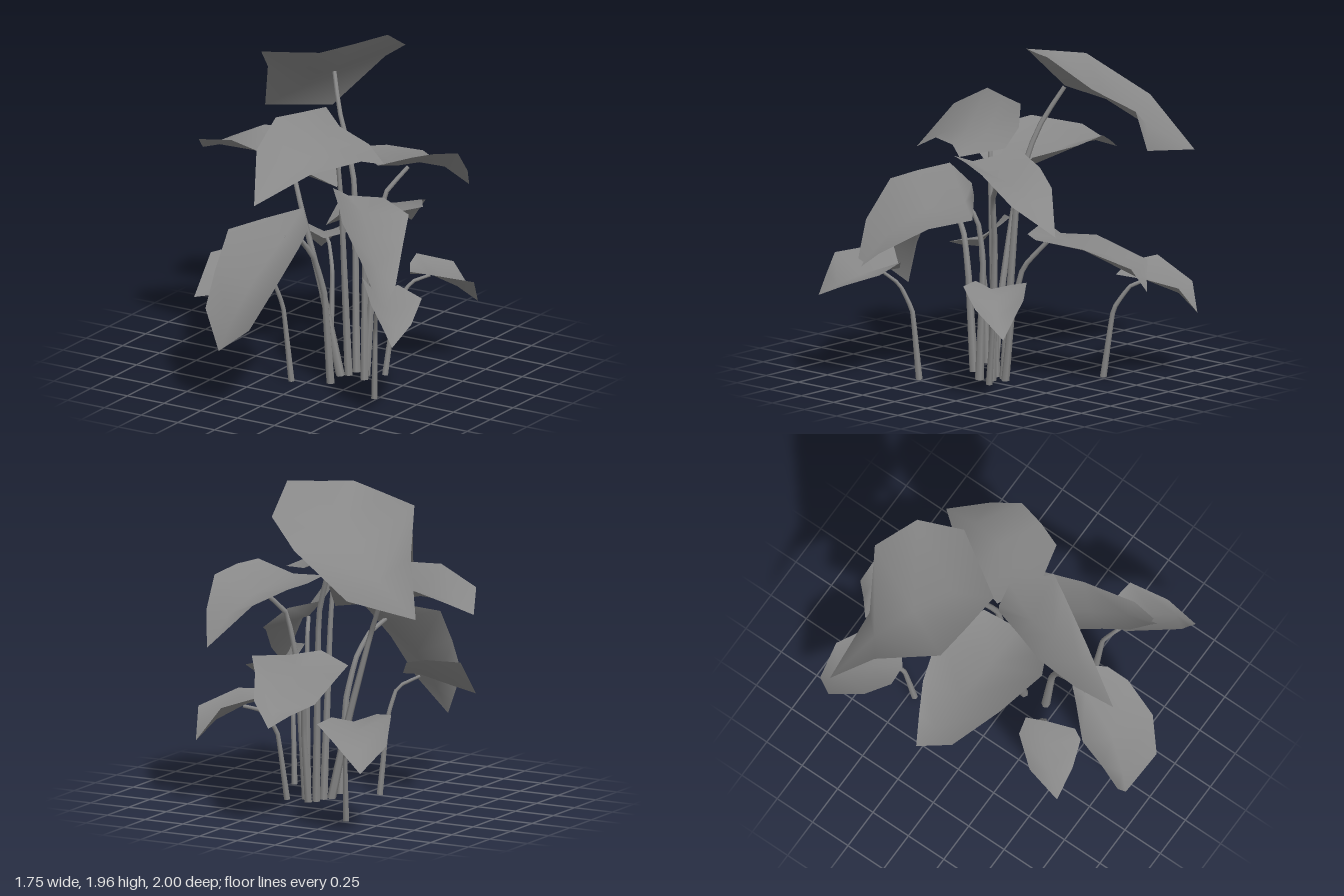
import * as THREE from 'three';

const leafMaterial = new THREE.MeshStandardMaterial({ color: 0x888888, side: THREE.DoubleSide });
const stemMaterial = new THREE.MeshStandardMaterial({ color: 0x888888 });

// Leaf blade: cross-sections [edge, rib, edge] from the base outwards, closed by one tip point.
function makeLeaf(sections, tip) {
  const position = [...sections.flat(2), ...tip];
  const index = [];
  const last = sections.length * 3;
  for (let row = 0; row < sections.length; row++) {
    for (let side = 0; side < 2; side++) {
      const a = row * 3 + side, b = a + 1;
      if (row === sections.length - 1) index.push(a, b, last);
      else if (side === 0) index.push(a, b, b + 3, a, b + 3, a + 3);
      else index.push(a, b, a + 3, b, b + 3, a + 3);
    }
  }
  const geometry = new THREE.BufferGeometry();
  geometry.setAttribute('position', new THREE.Float32BufferAttribute(position, 3));
  geometry.setIndex(index);
  geometry.computeVertexNormals();
  const mesh = new THREE.Mesh(geometry, leafMaterial);
  mesh.name = 'leaf';
  return mesh;
}

// Stalk: a six-sided tube with slight kinks that thins towards the leaf.
function makeStem(points, radius) {
  const path = points.map(p => new THREE.Vector3(...p));
  const curve = new THREE.CatmullRomCurve3(path, false, 'catmullrom', 0.15);
  const steps = 14, sides = 6;
  const geometry = new THREE.TubeGeometry(curve, steps, radius, sides, false);
  const pos = geometry.attributes.position;
  const v = new THREE.Vector3();
  for (let i = 0; i < pos.count; i++) {
    const t = Math.floor(i / (sides + 1)) / steps;
    const centre = curve.getPointAt(t);
    v.fromBufferAttribute(pos, i).sub(centre).multiplyScalar(1 - 0.5 * t).add(centre);
    pos.setXYZ(i, v.x, Math.max(0, v.y), v.z);
  }
  const mesh = new THREE.Mesh(geometry, stemMaterial);
  mesh.name = 'stem';
  return mesh;
}

export function createModel() {
  const plant = new THREE.Group();
  plant.name = 'leafyPlant';

  function frond(name, radius, stem, sections, tip) {
    const group = new THREE.Group();
    group.name = name;
    group.add(makeStem(stem, radius), makeLeaf(sections, tip));
    plant.add(group);
  }

  // Tallest leaf, leaning back and to the right
  frond('topFrond', 0.026,
    [[0.14, 0, -0.07], [0.09, 1.1, -0.13], [0, 1.4, -0.17], [-0.06, 1.53, -0.2], [-0.145, 1.715, -0.287]],
    [
      [[-0.09, 1.91, -0.04], [0.025, 1.93, -0.225], [0.14, 1.955, -0.41]],
      [[-0.31, 1.865, -0.07], [-0.145, 1.72, -0.29], [0.08, 1.8, -0.7]],
      [[-0.53, 1.82, -0.105], [-0.34, 1.63, -0.43], [-0.145, 1.65, -0.84]],
      [[-0.7, 1.6, -0.45], [-0.55, 1.46, -0.56], [-0.41, 1.35, -0.69]],
    ], [-0.85, 1.28, -0.66]);

  // Broad leaf reaching to the right
  frond('rightFrond', 0.026,
    [[0.1, 0, 0.04], [0, 0.49, 0.07], [-0.13, 0.98, 0.09], [-0.22, 1.18, 0.04]],
    [
      [[0, 1.29, 0.27], [0.07, 1.14, 0.03], [0, 1.3, -0.17]],
      [[-0.16, 1.37, 0.35], [-0.22, 1.19, 0.03], [-0.25, 1.35, -0.3]],
      [[-0.49, 1.4, 0.285], [-0.5, 1.26, 0.02], [-0.57, 1.34, -0.2]],
      [[-0.79, 1.316, 0.16], [-0.74, 1.25, 0.01], [-0.73, 1.27, -0.115]],
    ], [-0.88, 1.197, -0.03]);

  // High leaf arching to the front
  frond('upperFrontFrond', 0.026,
    [[0.13, 0, 0], [0.115, 1.0, 0.05], [0.1, 1.32, 0.07], [0.07, 1.41, 0.13]],
    [
      [[-0.045, 1.59, -0.035], [0.02, 1.47, -0.08], [0.19, 1.38, -0.125]],
      [[-0.1, 1.6, 0.15], [0.07, 1.42, 0.12], [0.4, 1.34, 0.04]],
      [[-0.16, 1.61, 0.33], [0.07, 1.41, 0.27], [0.32, 1.38, 0.165]],
      [[-0.14, 1.485, 0.57], [0.03, 1.36, 0.48], [0.15, 1.35, 0.45]],
    ], [-0.035, 1.217, 0.765]);

  // Leaf at the back left
  frond('backLeftFrond', 0.026,
    [[0.22, 0, -0.05], [0.25, 0.8, -0.1], [0.3, 1.1, -0.13], [0.38, 1.24, -0.25]],
    [
      [[0.54, 1.385, -0.04], [0.33, 1.31, 0], [0.06, 1.35, -0.12]],
      [[0.6, 1.375, -0.19], [0.37, 1.27, -0.17], [0.1, 1.32, -0.24]],
      [[0.65, 1.337, -0.36], [0.4, 1.245, -0.34], [0.16, 1.3, -0.37]],
      [[0.6, 1.17, -0.545], [0.44, 1.165, -0.55], [0.28, 1.23, -0.57]],
    ], [0.47, 1.0, -0.77]);

  // Low leaf straight back
  frond('backFrond', 0.024,
    [[0.17, 0, -0.11], [0.17, 0.4, -0.16], [0.14, 0.68, -0.22], [0.06, 0.86, -0.36]],
    [
      [[0.19, 0.9, -0.3], [0, 0.94, -0.26], [-0.1, 0.835, -0.12]],
      [[0.33, 0.917, -0.49], [0.03, 0.87, -0.48], [-0.23, 0.85, -0.46]],
      [[0.18, 0.87, -0.72], [-0.03, 0.8, -0.76], [-0.27, 0.75, -0.82]],
      [[0.045, 0.77, -0.975], [-0.06, 0.7, -0.92], [-0.16, 0.69, -0.91]],
    ], [-0.065, 0.62, -1.0]);

  // Leaf at the front left
  frond('frontLeftFrond', 0.026,
    [[0.25, 0, 0.02], [0.24, 0.7, 0], [0.255, 0.95, 0.03], [0.285, 1.04, 0.1]],
    [
      [[0.205, 1.235, 0.29], [0.205, 1.14, 0.12], [0.35, 1.11, -0.03]],
      [[0.33, 1.19, 0.43], [0.285, 1.045, 0.1], [0.465, 1.0, -0.12]],
      [[0.43, 1.14, 0.55], [0.43, 1.0, 0.27], [0.58, 0.93, 0.12]],
      [[0.595, 0.92, 0.59], [0.58, 0.86, 0.42], [0.7, 0.76, 0.4]],
    ], [0.71, 0.64, 0.565]);

  // Large hanging leaf at the front
  frond('frontFrond', 0.026,
    [[0.12, 0, 0.18], [0.11, 0.55, 0.23], [0.08, 0.78, 0.29], [0.05, 0.91, 0.38], [0.02, 0.975, 0.535]],
    [
      [[0.2, 1.05, 0.56], [0.06, 1.114, 0.38], [-0.1, 1.07, 0.55]],
      [[0.22, 0.98, 0.69], [0.02, 0.97, 0.53], [-0.25, 1.02, 0.7]],
      [[0.185, 0.79, 0.89], [-0.05, 0.74, 0.77], [-0.25, 0.82, 0.84]],
      [[0.075, 0.544, 0.995], [-0.12, 0.52, 0.89], [-0.25, 0.61, 0.95]],
    ], [-0.163, 0.363, 0.945]);

  // Four small low leaves on short stalks
  frond('smallFrontRightFrond', 0.02,
    [[-0.09, 0, 0.27], [-0.12, 0.45, 0.31], [-0.15, 0.62, 0.37], [-0.25, 0.68, 0.46]],
    [
      [[-0.25, 0.79, 0.3], [-0.17, 0.7, 0.4], [-0.11, 0.68, 0.55]],
      [[-0.36, 0.81, 0.33], [-0.28, 0.69, 0.48], [-0.14, 0.66, 0.61]],
      [[-0.495, 0.777, 0.5], [-0.4, 0.64, 0.57], [-0.29, 0.61, 0.66]],
    ], [-0.49, 0.56, 0.69]);

  frond('smallBackRightFrond', 0.02,
    [[-0.28, 0, -0.465], [-0.305, 0.4, -0.52], [-0.37, 0.54, -0.59], [-0.44, 0.575, -0.65]],
    [
      [[-0.49, 0.655, -0.48], [-0.35, 0.6, -0.5], [-0.25, 0.63, -0.58]],
      [[-0.635, 0.68, -0.566], [-0.45, 0.58, -0.66], [-0.27, 0.63, -0.79]],
      [[-0.715, 0.54, -0.765], [-0.56, 0.5, -0.8], [-0.44, 0.563, -0.905]],
    ], [-0.614, 0.39, -0.895]);

  frond('smallFrontLeftFrond', 0.02,
    [[0.48, 0, 0.28], [0.505, 0.4, 0.31], [0.55, 0.56, 0.37], [0.63, 0.64, 0.43]],
    [
      [[0.51, 0.793, 0.46], [0.56, 0.66, 0.36], [0.64, 0.72, 0.28]],
      [[0.73, 0.73, 0.71], [0.74, 0.63, 0.5], [0.81, 0.67, 0.29]],
      [[0.8, 0.62, 0.71], [0.83, 0.57, 0.6], [0.875, 0.585, 0.51]],
    ], [0.87, 0.5, 0.71]);

  frond('smallBackLeftFrond', 0.02,
    [[0.31, 0, -0.11], [0.34, 0.4, -0.17], [0.4, 0.54, -0.25], [0.48, 0.575, -0.33]],
    [
      [[0.46, 0.645, -0.14], [0.41, 0.6, -0.22], [0.35, 0.63, -0.32]],
      [[0.6, 0.64, -0.17], [0.48, 0.58, -0.33], [0.33, 0.655, -0.42]],
      [[0.74, 0.56, -0.39], [0.6, 0.5, -0.43], [0.5, 0.6, -0.55]],
    ], [0.67, 0.39, -0.545]);

  return plant;
}
